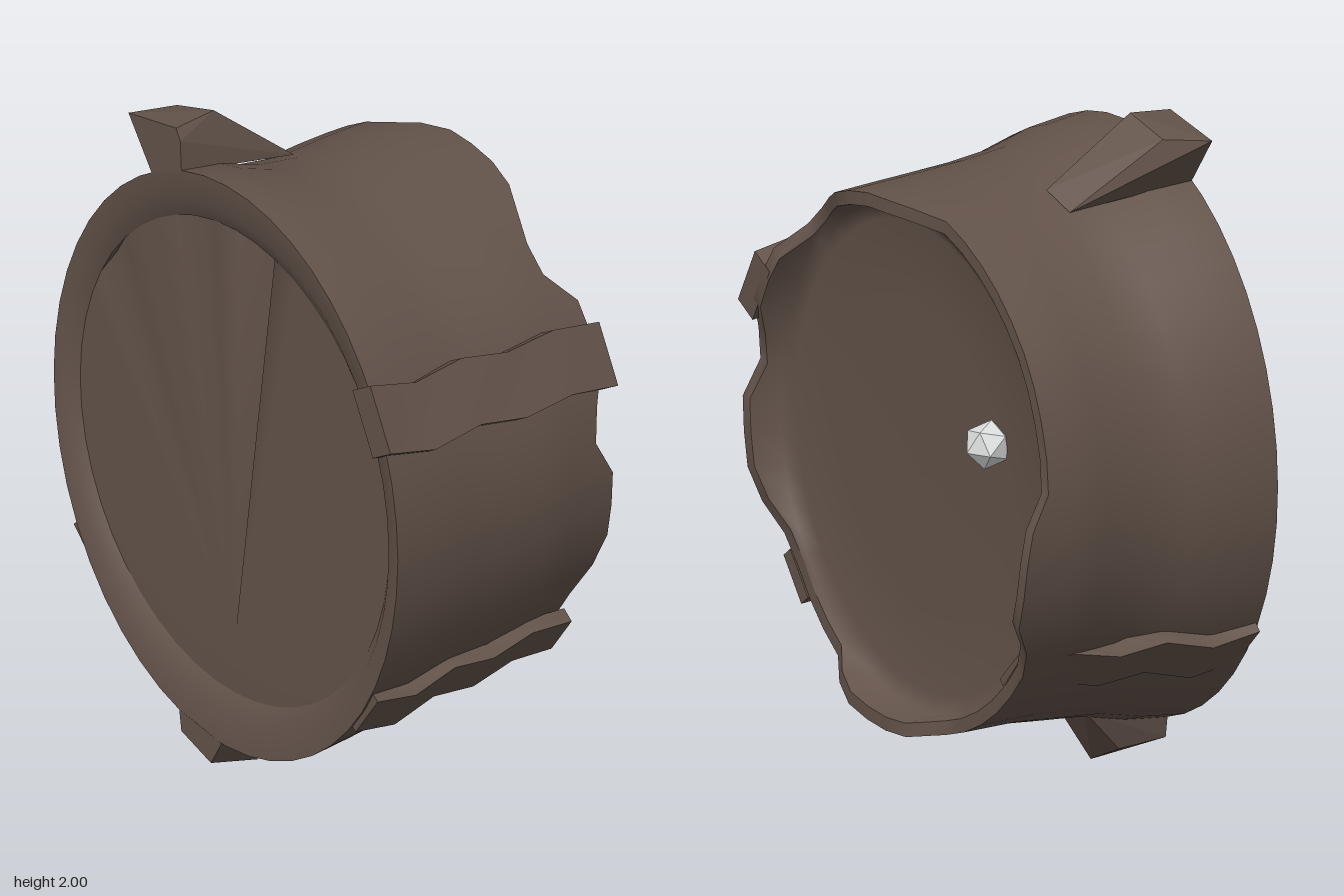
import * as THREE from 'three';
import { ConvexGeometry } from 'three/addons/geometries/ConvexGeometry.js';

const SEG = 48;

// Closed oval cross-section; z may be a number or a function of the angle in degrees
function oval(cx, cy, rx, ry, z) {
  const ring = [];
  for (let i = 0; i < SEG; i++) {
    const deg = (i / SEG) * 360, a = THREE.MathUtils.degToRad(deg);
    ring.push([cx + rx * Math.cos(a), cy + ry * Math.sin(a), typeof z === 'function' ? z(deg) : z]);
  }
  return ring;
}

function makeGeometry(points, index) {
  const geo = new THREE.BufferGeometry();
  geo.setAttribute('position', new THREE.Float32BufferAttribute(points.flat(), 3));
  geo.setIndex(index);
  geo.computeVertexNormals();
  return geo;
}

// Skin through a list of rings, ordered from the front to the back
function loft(rings) {
  const index = [];
  for (let r = 0; r < rings.length - 1; r++) {
    for (let i = 0; i < SEG; i++) {
      const a = r * SEG + i, b = r * SEG + ((i + 1) % SEG);
      const c = a + SEG, d = b + SEG;
      index.push(a, c, b, b, c, d);
    }
  }
  return makeGeometry(rings.flat(), index);
}

// Front-facing fan from one point to a ring
function fan(point, ring) {
  const index = [];
  for (let i = 0; i < SEG; i++) index.push(0, i + 1, ((i + 1) % SEG) + 1);
  return makeGeometry([point, ...ring], index);
}

// Straight interpolation through [key, value] pairs
function lerpKeys(keys, t) {
  for (let i = 0; i < keys.length - 1; i++) {
    const [k0, v0] = keys[i], [k1, v1] = keys[i + 1];
    if (t <= k1) return v0 + (v1 - v0) * ((t - k0) / (k1 - k0));
  }
  return keys[keys.length - 1][1];
}

// Uneven edge of the back rim
const backEdge = [
  [0, -0.43], [10, -0.355], [20, -0.43], [37, -0.43], [45, -0.35], [54, -0.35], [70, -0.43],
  [93, -0.43], [105, -0.35], [145, -0.345], [172, -0.355], [182, -0.43], [202, -0.43], [213, -0.35],
  [255, -0.35], [263, -0.43], [290, -0.43], [297, -0.35], [328, -0.34], [342, -0.43], [360, -0.43],
];

// Radiating folds in the front face
const frontFolds = [
  [0, 0.38], [75, 0.38], [82.5, 0.25], [90, 0.37], [97.5, 0.38], [105, 0.35],
  [112.5, 0.38], [135, 0.38], [142.5, 0.36], [150, 0.38], [360, 0.38],
];

export function createModel() {
  const model = new THREE.Group();
  const wood = new THREE.MeshStandardMaterial({ color: 0x63534a });
  wood.name = 'brown wood';
  const pale = new THREE.MeshStandardMaterial({ color: 0xdcdede });
  pale.name = 'pale grey';

  const add = (name, geo, material = wood) => {
    const mesh = new THREE.Mesh(geo, material);
    mesh.name = name;
    model.add(mesh);
    return mesh;
  };

  const backZ = (deg) => lerpKeys(backEdge, deg);
  const frontOuter = oval(0, 1, 0.813, 0.89, 0.42);
  const frontInner = oval(-0.01, 1, 0.73, 0.735, 0.38);
  const foldedInner = oval(-0.01, 1, 0.73, 0.735, (deg) => lerpKeys(frontFolds, deg));
  const backOuter = oval(-0.047, 1.005, 0.768, 0.803, backZ);
  const backLip = oval(-0.047, 1.005, 0.73, 0.762, backZ);

  // Log body, slightly waisted
  add('frontFace', fan([0, 0.45, 0.385], foldedInner));
  add('frontFoldEdge', loft([foldedInner, frontInner]));
  add('frontRim', loft([frontInner, oval(-0.006, 1, 0.765, 0.8, 0.412), frontOuter]));
  add('bark', loft([
    frontOuter,
    oval(-0.003, 1.0, 0.807, 0.872, 0.28),
    oval(0, 0.995, 0.785, 0.835, 0.14),
    oval(0, 0.993, 0.767, 0.822, 0),
    oval(-0.022, 1.003, 0.782, 0.808, -0.16),
    oval(-0.035, 1.005, 0.778, 0.806, -0.27),
    backOuter,
  ]));
  add('backRim', loft([backOuter, backLip]));
  add('backFace', loft([
    backLip,
    oval(-0.045, 1.005, 0.715, 0.745, -0.335),
    oval(-0.04, 1.005, 0.67, 0.7, -0.305),
    oval(-0.03, 1.0, 0.45, 0.46, -0.295),
    oval(-0.02, 0.95, 0.001, 0.001, -0.29),
  ]));

  // Broken branch stubs at the top and bottom of the front edge
  const stub = (name, points) =>
    add(name, new ConvexGeometry(points.map((p) => new THREE.Vector3(...p))));
  stub('topStub', [
    [-0.46, 1.95, 0.42], [-0.235, 1.985, 0.42], [-0.215, 1.95, 0.42], [-0.35, 1.8, 0.42], [-0.21, 1.855, 0.42],
    [-0.40, 1.96, 0.29], [-0.24, 2.0, 0.28], [-0.31, 1.76, 0.03], [-0.2, 1.8, 0.02],
  ]);
  stub('bottomStub', [
    [-0.21, 0.08, 0.42], [-0.07, 0.03, 0.42], [-0.02, 0.11, 0.42], [-0.22, 0.145, 0.42],
    [-0.18, 0.06, 0.28], [-0.06, 0.0, 0.26], [-0.03, 0.19, 0.15], [-0.2, 0.2, 0.15],
  ]);

  // Raised bark strips running front to back, drawn in and waved along their length
  const strip = (name, x, y, deg, width, thick, zFront, zBack, shrink) => {
    const geo = new THREE.BoxGeometry(thick, width, zFront - zBack, 1, 1, 5);
    geo.translate(-thick / 2, 0, 0);
    geo.rotateZ(THREE.MathUtils.degToRad(deg));
    geo.translate(x, y, (zFront + zBack) / 2);
    const p = geo.attributes.position;
    for (let i = 0; i < p.count; i++) {
      const t = (zFront - p.getZ(i)) / (zFront - zBack);
      const s = 1 - shrink * t;
      const wave = 0.018 * Math.cos(t * Math.PI * 5) * (1 - 0.5 * t);
      p.setXY(i, p.getX(i) * s, 1 + (p.getY(i) - 1) * s + wave);
    }
    geo.computeVertexNormals();
    add(name, geo);
  };
  strip('upperLeftStrip', 0.75, 1.41, 28, 0.205, 0.095, 0.435, -0.43, 0.065);
  strip('lowerLeftStrip', 0.655, 0.425, -38, 0.17, 0.05, 0.412, -0.34, 0.09);
  strip('lowerRightStrip', -0.665, 0.46, 225, 0.18, 0.055, 0.412, -0.34, 0.08);

  // Small faceted knob on the back face
  const knob = add('backKnob', new THREE.IcosahedronGeometry(0.072, 0), pale);
  knob.position.set(-0.435, 1.155, -0.328);
  knob.rotation.set(0.3, 0.2, 0.4);

  return model;
}
